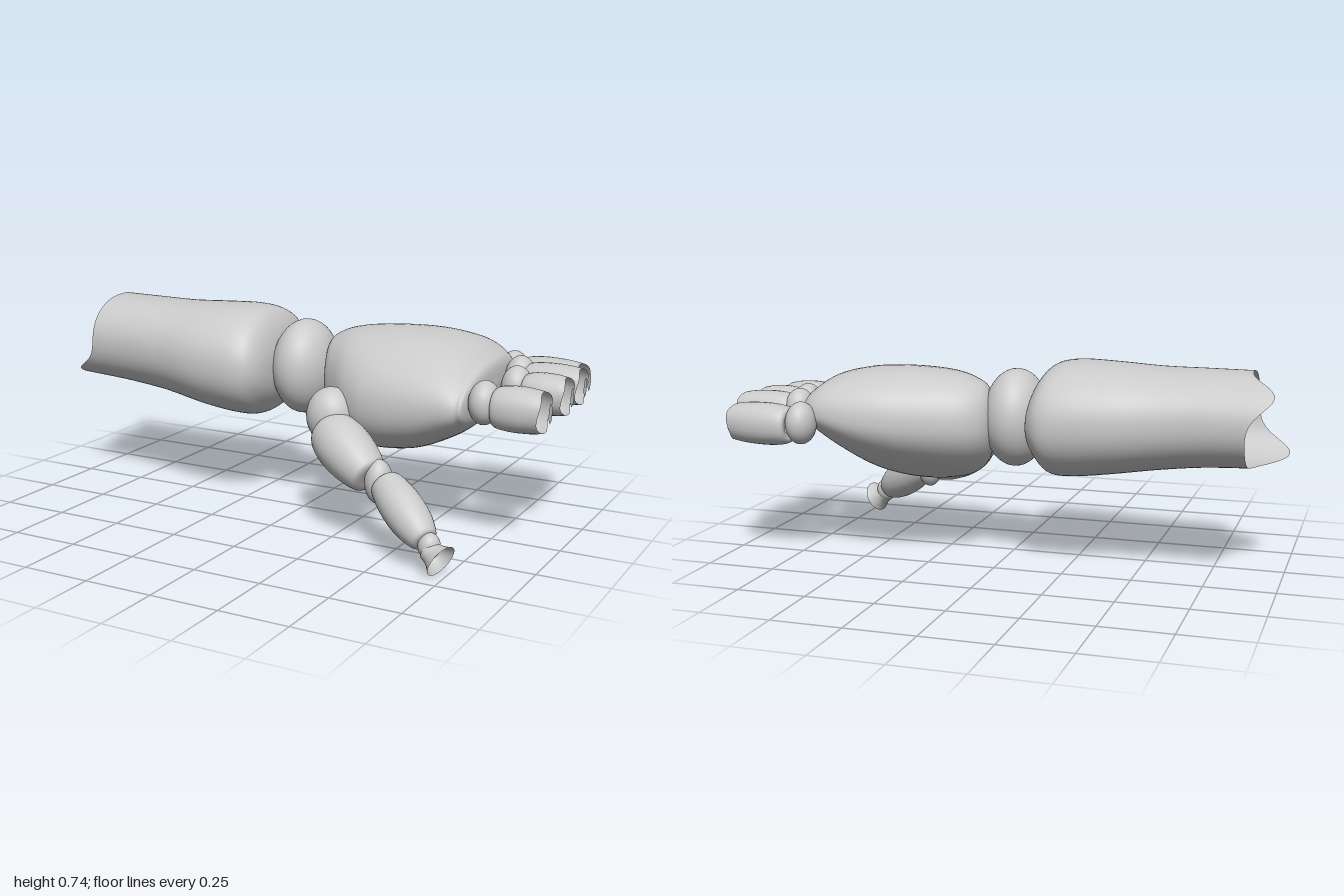
import * as THREE from 'three';

const clay = new THREE.MeshStandardMaterial({ color: 0xcacaca, side: THREE.DoubleSide });
clay.name = 'plain grey';

// Smooth skin along x through stations [x, yMin, yMax, zMin, zMax]
function loft(stations, { power = 2, warp = null, rows = 40, cols = 40 } = {}) {
  const middle = new THREE.CatmullRomCurve3(
    stations.map(([x, y0, y1, z0, z1]) => new THREE.Vector3(x, (y0 + y1) / 2, (z0 + z1) / 2)), false, 'catmullrom', 0.5);
  const radius = new THREE.CatmullRomCurve3(
    stations.map(([, y0, y1, z0, z1]) => new THREE.Vector3(0, (y1 - y0) / 2, (z1 - z0) / 2)), false, 'catmullrom', 0.5);
  const round = (v) => Math.sign(v) * Math.abs(v) ** (2 / power);
  const positions = [], index = [], p = new THREE.Vector3();
  for (let i = 0; i <= rows; i++) {
    const c = middle.getPoint(i / rows), r = radius.getPoint(i / rows);
    for (let j = 0; j < cols; j++) {
      const a = (j / cols) * Math.PI * 2;
      p.set(c.x, c.y + Math.max(r.y, 0.001) * round(Math.sin(a)), c.z + Math.max(r.z, 0.001) * round(Math.cos(a)));
      if (warp) warp(p, a);
      positions.push(p.x, p.y, p.z);
      if (i < rows) {
        const k = (j + 1) % cols, m = i * cols, n = m + cols;
        index.push(m + j, n + j, m + k, n + j, n + k, m + k);
      }
    }
  }
  const geometry = new THREE.BufferGeometry();
  geometry.setAttribute('position', new THREE.Float32BufferAttribute(positions, 3));
  geometry.setIndex(index);
  geometry.computeVertexNormals();
  return geometry;
}

function add(parent, name, geometry) {
  const mesh = new THREE.Mesh(geometry, clay);
  mesh.name = name;
  parent.add(mesh);
  return mesh;
}

function ball(parent, name, center, radii) {
  const mesh = add(parent, name, new THREE.SphereGeometry(1, 32, 20));
  mesh.position.set(...center);
  mesh.scale.set(...radii);
}

// Round limb between two points; profile is a list of [fraction along, radius]
function limb(parent, name, from, to, profile, options) {
  const a = new THREE.Vector3(...from), d = new THREE.Vector3(...to).sub(a), length = d.length();
  const rings = profile.map(([t, r]) => [t * length, -r, r, -r, r]);
  const mesh = add(parent, name, loft(rings, { rows: 28, cols: 28, ...options }));
  mesh.position.copy(a);
  mesh.quaternion.setFromUnitVectors(new THREE.Vector3(1, 0, 0), d.normalize());
}

export function createModel() {
  const model = new THREE.Group();
  model.name = 'handAndForearm';

  // Forearm: open, torn far end with two narrow points, rounded cuff at the wrist
  add(model, 'forearm', loft([
    [-0.88, 0.4, 0.73, -0.3, 0.11],
    [-0.72, 0.39, 0.73, -0.295, 0.125],
    [-0.56, 0.37, 0.73, -0.305, 0.15],
    [-0.4, 0.345, 0.738, -0.33, 0.185],
    [-0.27, 0.33, 0.742, -0.342, 0.192],
    [-0.19, 0.335, 0.728, -0.338, 0.182],
    [-0.145, 0.38, 0.685, -0.31, 0.155],
    [-0.118, 0.43, 0.62, -0.26, 0.1],
    [-0.108, 0.48, 0.56, -0.16, 0.0],
    [-0.12, 0.52, 0.52, -0.08, -0.08],
  ], {
    power: 2.15, rows: 63, cols: 72,
    warp: (p, a) => {
      const fade = Math.min(Math.max((-0.6 - p.x) / 0.28, 0), 1);
      const lower = Math.max(0, Math.cos(a + 0.95)) ** 8, upper = Math.max(0, Math.cos(a - 2.5)) ** 10;
      p.x -= fade * (0.12 * lower + 0.09 * upper);
    },
  }));

  // Wrist ball
  ball(model, 'wrist', [-0.035, 0.525, -0.085], [0.118, 0.177, 0.157]);

  // Palm: slanted at the wrist, leaning up and thinning toward the little finger side
  add(model, 'palm', loft([
    [0.05, 0.49, 0.5, -0.11, -0.09],
    [0.058, 0.38, 0.62, -0.2, 0.01],
    [0.11, 0.32, 0.665, -0.275, 0.075],
    [0.2, 0.29, 0.69, -0.33, 0.14],
    [0.34, 0.283, 0.7, -0.38, 0.185],
    [0.48, 0.305, 0.695, -0.4, 0.2],
    [0.6, 0.36, 0.67, -0.395, 0.2],
    [0.67, 0.41, 0.63, -0.36, 0.19],
    [0.7, 0.46, 0.6, -0.29, 0.16],
    [0.708, 0.53, 0.53, -0.1, -0.08],
  ], {
    power: 2.15, rows: 63, cols: 56,
    warp: (p, a) => {
      p.x += 0.3 * (p.z + 0.1) * Math.min(Math.max((0.3 - p.x) / 0.25, 0), 1);
      p.y += 0.2 * Math.max(0, -Math.sin(a)) * Math.max(0, -0.1 - p.z) - 0.1 * (p.z + 0.1);
    },
  }));

  // Fingers: knuckle, open sleeve and a loose scrap at the tip
  // [name, knuckle x, y, knuckle z, sleeve z, half width, sleeve start, sleeve end]
  [
    ['index', 0.75, 0.51, 0.112, 0.108, 0.075, 0.785, 0.957],
    ['middle', 0.788, 0.525, -0.092, -0.085, 0.07, 0.82, 0.972],
    ['ring', 0.75, 0.53, -0.235, -0.23, 0.069, 0.775, 0.976],
    ['little', 0.668, 0.51, -0.398, -0.405, 0.073, 0.705, 0.93],
  ].forEach(([name, kx, y, kz, z, r, start, end]) => {
    const finger = new THREE.Group();
    finger.name = name + 'Finger';
    model.add(finger);
    ball(finger, name + 'Knuckle', [kx, y + 0.01, kz], [0.054, 0.076, r * 0.9]);
    limb(finger, name + 'Sleeve', [start, y, z], [end, y, z + (name === 'little' ? 0.025 : 0)],
      [[0.03, 0.03], [0, r * 0.7], [0.06, r * 0.9], [0.25, r], [0.5, r * 1.03], [0.8, r * 0.99], [1, r * 0.91]],
      { power: 2.2, warp: (p, a) => { if (p.x > 0.12) p.x += 0.006 * Math.sin(3 * a); } });
    const scrap = add(finger, name + 'TipScrap', new THREE.CircleGeometry(1, 7));
    scrap.rotation.y = Math.PI / 2;
    scrap.position.set(Math.min(end + 0.022, 0.99), y, z + 0.005);
    scrap.scale.set(0.02, 0.036, 1);
  });

  // Thumb: alternating joints and blunt barrel segments, ending in a flared cup
  const thumb = new THREE.Group();
  thumb.name = 'thumb';
  model.add(thumb);
  ball(thumb, 'thumbBase', [0.185, 0.41, 0.135], [0.09, 0.104, 0.085]);
  limb(thumb, 'thumbLowerSegment', [0.185, 0.375, 0.165], [0.402, 0.25, 0.265],
    [[0.02, 0.002], [0, 0.055], [0.1, 0.083], [0.35, 0.097], [0.65, 0.092], [0.9, 0.076], [1, 0.058], [1, 0.002]]);
  ball(thumb, 'thumbMiddleJoint', [0.435, 0.238, 0.262], [0.048, 0.078, 0.053]);
  limb(thumb, 'thumbUpperSegment', [0.462, 0.242, 0.272], [0.667, 0.107, 0.393],
    [[0.02, 0.002], [0, 0.045], [0.1, 0.062], [0.4, 0.073], [0.7, 0.069], [0.92, 0.054], [1, 0.038], [1, 0.002]]);
  ball(thumb, 'thumbTipJoint', [0.685, 0.095, 0.4], [0.038, 0.045, 0.038]);
  limb(thumb, 'thumbTipCup', [0.685, 0.083, 0.405], [0.736, 0.057, 0.42],
    [[0, 0.036], [0.4, 0.04], [0.75, 0.05], [1, 0.06]]);

  return model;
}
